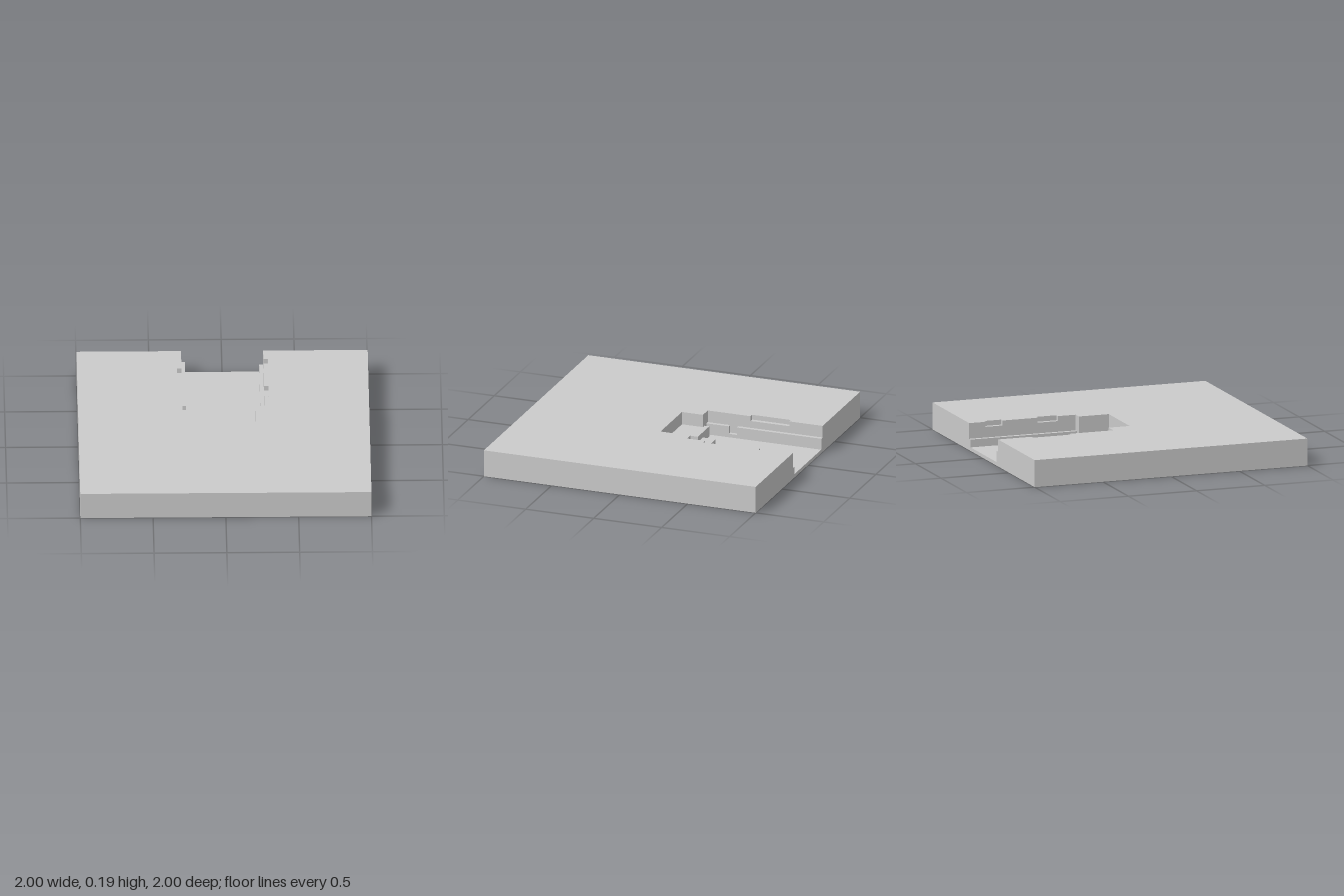
import * as THREE from 'three';

const material = new THREE.MeshStandardMaterial({ color: 0xcccccc, flatShading: true });

// Upright prism over a plan outline given as [x, z] points
function prism(name, outline, y0, y1) {
  const shape = new THREE.Shape(outline.map(([x, z]) => new THREE.Vector2(x, -z)));
  const geometry = new THREE.ExtrudeGeometry(shape, { depth: y1 - y0, bevelEnabled: false });
  geometry.rotateX(-Math.PI / 2).translate(0, y0, 0);
  const mesh = new THREE.Mesh(geometry, material);
  mesh.name = name;
  return mesh;
}

const rect = (x0, x1, z0, z1) => [[x0, z0], [x1, z0], [x1, z1], [x0, z1]];

export function createModel() {
  const group = new THREE.Group();
  group.name = 'slottedPlate';

  const top = 0.19, floor = 0.025, sill = 0.155;
  const wall = 0.282, inner = 0.255, recess = 0.312;
  const rightLedge = 0.105, leftLedge = 0.08, step = 0.062, pad = 0.1;

  // Wall recesses as [side, z0, z1]
  const recesses = [[-1, -0.755, -0.47], [1, -0.88, -0.755], [1, -0.5, -0.35]];

  // Edge of one long wall from the open end inward, including its recesses
  const wallEdge = (side) => recesses.filter((r) => r[0] === side).flatMap(([s, z0, z1]) => [
    [s * wall, z0], [s * recess, z0], [s * recess, z1], [s * wall, z1],
  ]);

  // Narrow inner end of the slot
  const slotEnd = [[-wall, -0.155], [-0.19, -0.155], [-0.19, 0], [0.22, 0], [0.22, -0.22], [wall, -0.22]];

  // Plate surrounding the slot
  group.add(prism('plate', [
    [-1, 1], [-1, -1], [-wall, -1], ...wallEdge(-1), ...slotEnd,
    ...wallEdge(1).reverse(), [wall, -1], [1, -1], [1, 1],
  ], 0, top));

  // Thin floor of the slot
  group.add(prism('slotFloor', [[-wall, -1], ...slotEnd, [wall, -1]], 0, floor));

  // Sills filling the recesses up to just below the plate top
  for (const [side, z0, z1] of recesses) {
    const xs = [side * wall, side * recess].sort((a, b) => a - b);
    group.add(prism('recessSill', rect(xs[0], xs[1], z0, z1), 0, sill));
  }

  // Ledges along both walls; the right one is cut by a small gap
  group.add(prism('leftLedge', rect(inner, wall, -1, -0.22), floor, leftLedge));
  group.add(prism('rightLedge', rect(-wall, -inner, -1, -0.38), floor, rightLedge));
  group.add(prism('rightLedgeGap', rect(-wall, -inner, -0.38, -0.32), floor, 0.05));
  group.add(prism('rightLedgeEnd', rect(-wall, -inner, -0.32, -0.155), floor, rightLedge));

  // Low step at the inner end
  group.add(prism('endStep', [
    [-0.095, -0.285], [inner, -0.285], [inner, -0.22], [0.22, -0.22], [0.22, 0],
    [0, 0], [0, -0.19], [-0.095, -0.19],
  ], floor, step));

  // Raised pad in the corner
  group.add(prism('cornerPad', [
    [-0.22, -0.19], [0, -0.19], [0, 0], [-0.19, 0], [-0.19, -0.155], [-0.22, -0.155],
  ], floor, pad));

  return group;
}
